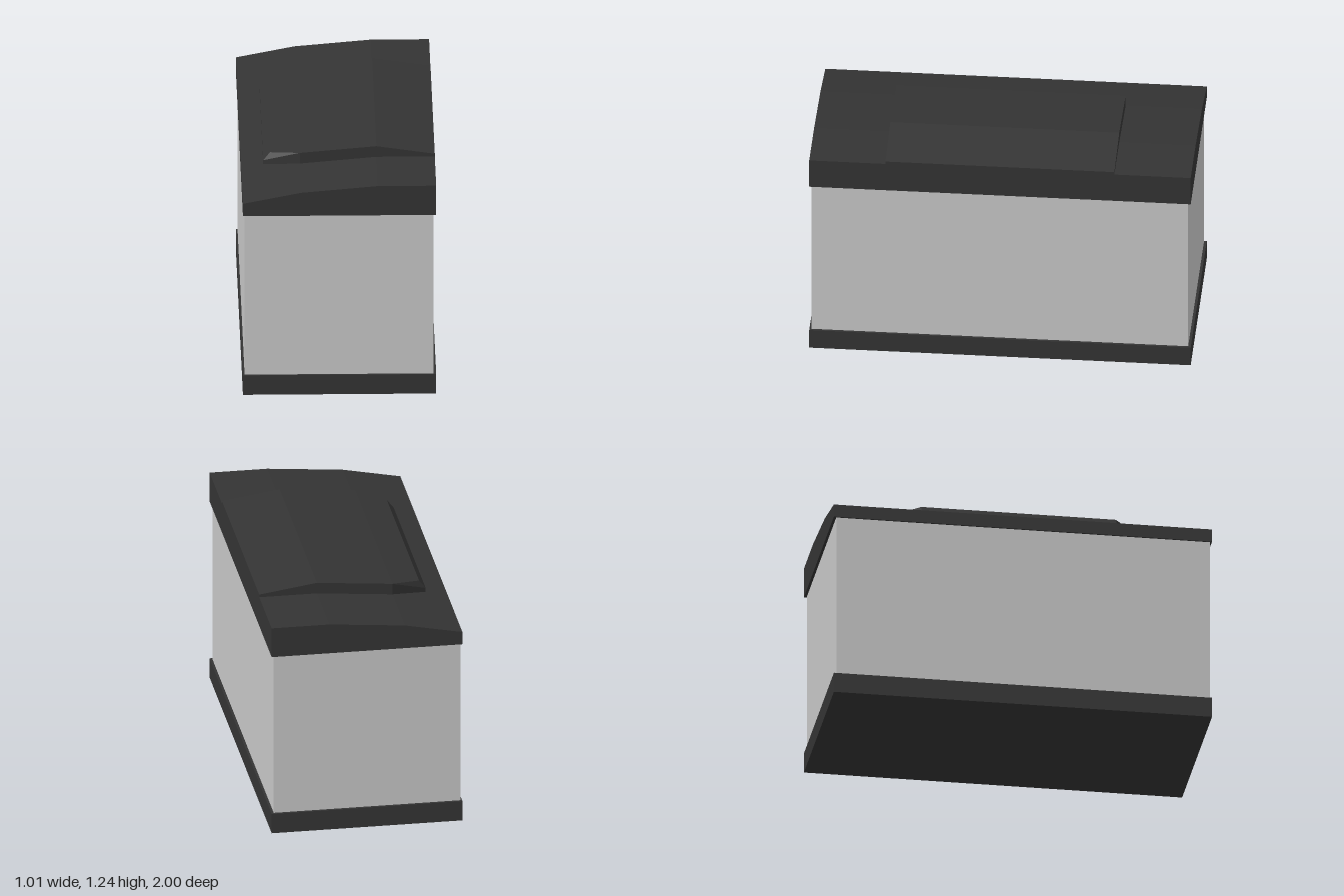
import * as THREE from 'three';
import { ConvexGeometry } from 'three/addons/geometries/ConvexGeometry.js';

export function createModel() {
  const model = new THREE.Group();
  model.name = 'storageBox';

  const charcoal = new THREE.MeshStandardMaterial({ color: 0x343434 });
  charcoal.name = 'charcoal';
  const lightGrey = new THREE.MeshStandardMaterial({ color: 0xc9c9c9 });
  lightGrey.name = 'lightGrey';

  const add = (name, geometry, material) => {
    const mesh = new THREE.Mesh(geometry, material);
    mesh.name = name;
    model.add(mesh);
    return mesh;
  };

  const half = 0.505;

  // Base plinth
  add('base', new THREE.BoxGeometry(2 * half, 0.11, 2), charcoal).position.y = 0.055;

  // Body, slightly inset from base and lid
  add('body', new THREE.BoxGeometry(0.988, 0.9, 1.976), lightGrey).position.set(-0.002, 0.56, 0.002);

  // Lid: sloped profile running the full length
  const profile = new THREE.Shape([
    [-half, 1.01], [half, 1.01], [half, 1.175], [0.2, 1.175], [-0.2, 1.14], [-half, 1.08],
  ].map(([x, y]) => new THREE.Vector2(x, y)));
  const lid = new THREE.ExtrudeGeometry(profile, { depth: 2, bevelEnabled: false });
  add('lid', lid.translate(0, 0, -1), charcoal);

  // Raised panel: [x, y, half width], mirrored in z, its underside sunk into the lid
  const corners = [
    [-0.39, 1.05, 0.515], [-0.39, 1.125, 0.515], [-0.355, 1.17, 0.515],
    [-0.2, 1.05, 0.6], [-0.2, 1.2, 0.6], [0.2, 1.235, 0.6],
    [half, 1.19, 0.6], [half, 1.05, 0.6],
  ];
  const points = corners.flatMap(([x, y, z]) => [-z, z].map((s) => new THREE.Vector3(x, y, s)));
  add('raisedPanel', new ConvexGeometry(points), charcoal);

  return model;
}
